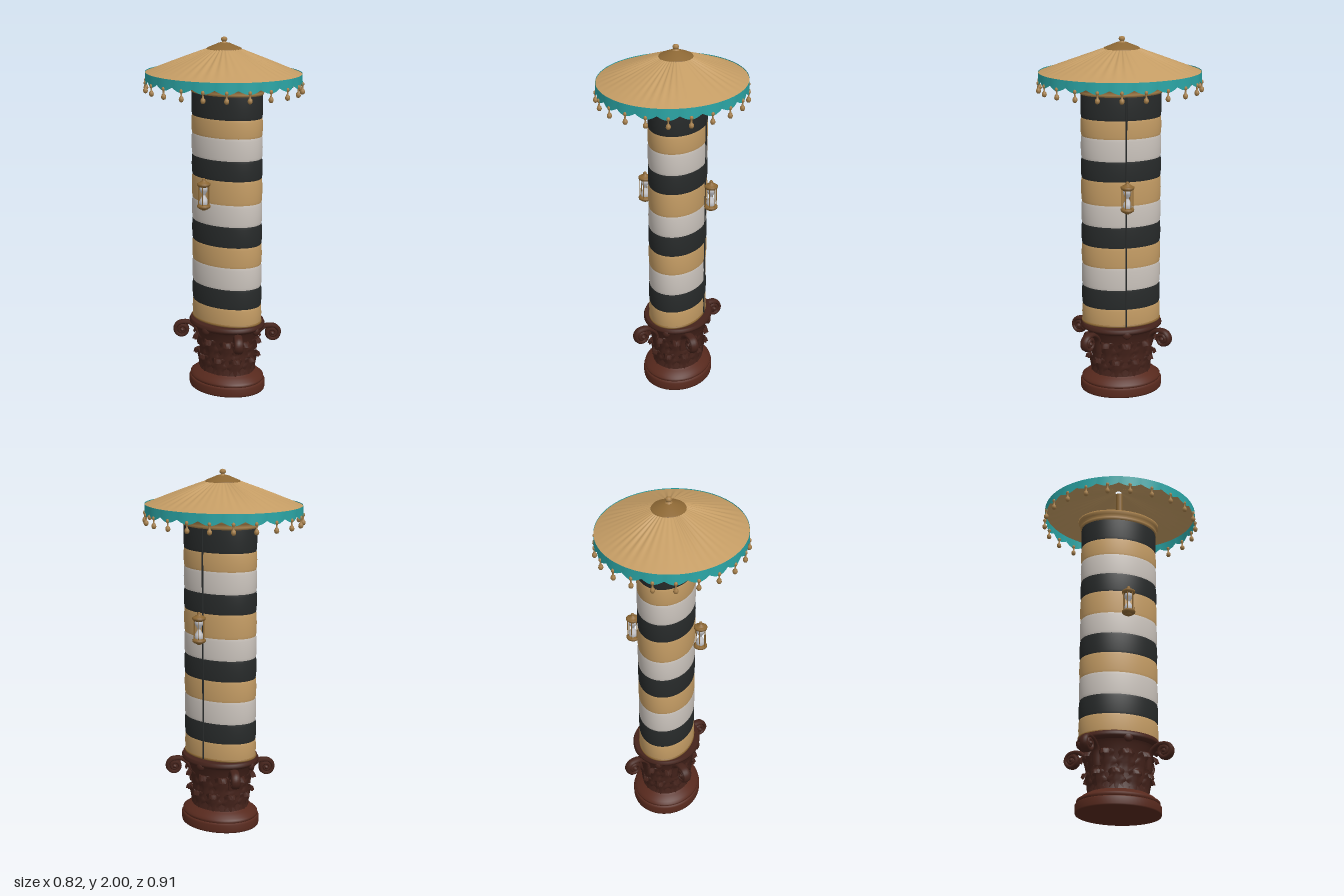
import * as THREE from 'three';

const mat = (name, color, double) => {
  const m = new THREE.MeshStandardMaterial({ color });
  m.name = name;
  if (double) m.side = THREE.DoubleSide;
  return m;
};
const M = {
  tan: mat('tan cloth', 0xc49c64, true),
  white: mat('white cloth', 0xcbc4bd),
  black: mat('black cloth', 0x272a2a),
  teal: mat('teal trim', 0x2ba5a5, true),
  gold: mat('old gold', 0x8c6734),
  bulb: mat('tassel gold', 0xa67f4a),
  carved: mat('carved wood', 0x45231b, true),
  wood: mat('plinth wood', 0x57291d),
  glass: mat('pale glass', 0xc2c2c6),
};

const add = (parent, name, geo, material, x = 0, y = 0, z = 0) => {
  const mesh = new THREE.Mesh(geo, material);
  mesh.name = name;
  mesh.position.set(x, y, z);
  parent.add(mesh);
  return mesh;
};
const lathe = (pts, seg = 64) =>
  new THREE.LatheGeometry(pts.map(([r, y]) => new THREE.Vector2(r, y)), seg);
const group = (parent, name, x = 0, y = 0, z = 0) => {
  const g = new THREE.Group();
  g.name = name;
  g.position.set(x, y, z);
  parent.add(g);
  return g;
};

// Lobed leaf that curls outward at its tip
function leafGeometry(w, h, out) {
  const geo = new THREE.PlaneGeometry(w, h, 6, 12);
  const p = geo.attributes.position;
  for (let i = 0; i < p.count; i++) {
    const u = p.getX(i), v = p.getY(i) / h + 0.5;
    const width = (1 - 0.55 * v ** 3) * (1 + 0.16 * Math.sin(v * 20));
    const curl = Math.max(0, v - 0.75);
    p.setXYZ(i, u * width, h * (v - 1.6 * curl * curl * 4),
      out * v * v + 0.01 - Math.abs(u) * 0.3 + 0.004 * Math.cos((u / w) * 18));
  }
  geo.computeVertexNormals();
  return geo;
}

function buildCapital(root) {
  const cap = group(root, 'carvedPedestal', 0.032);
  const body = group(cap, 'pedestalBody');
  body.scale.x = 0.84;
  add(body, 'plinth', lathe([[0, 0], [0.23, 0], [0.232, 0.008], [0.232, 0.045], [0.224, 0.052], [0.216, 0.054]]), M.wood);
  add(body, 'footMoulding', lathe([[0.216, 0.05], [0.224, 0.058], [0.224, 0.07], [0.21, 0.078], [0.2, 0.088], [0.18, 0.098], [0.168, 0.105]]), M.wood);
  add(body, 'bell', lathe([[0.168, 0.1], [0.158, 0.15], [0.158, 0.22], [0.168, 0.29], [0.19, 0.35], [0.205, 0.37]]), M.carved);
  add(body, 'abacus', lathe([[0.15, 0.365], [0.21, 0.367], [0.228, 0.378], [0.23, 0.39], [0.222, 0.398], [0.222, 0.406], [0, 0.408]]), M.carved);
  // Two staggered rows of leaves
  [[0.095, 0.14, 0.035, 0.1, 0.158], [0.1, 0.16, 0.05, 0.19, 0.158]].forEach(([w, h, out, y, r], row) => {
    const geo = leafGeometry(w, h, out);
    for (let i = 0; i < 10; i++) {
      const a = ((i + row * 0.5) / 10) * Math.PI * 2;
      add(body, 'leaf', geo, M.carved, Math.sin(a) * r, y, Math.cos(a) * r).rotation.y = a;
    }
  });
  // Rosette in the middle of each side
  for (let i = 0; i < 4; i++) {
    const a = (i * Math.PI) / 2;
    const ros = add(body, 'rosette', new THREE.SphereGeometry(0.026, 12, 8), M.carved, Math.sin(a) * 0.216, 0.372, Math.cos(a) * 0.216);
    ros.rotation.y = a;
    ros.scale.z = 0.7;
  }
  // Corner scrolls on curved stalks
  const pts = [new THREE.Vector3(0, -0.09, -0.1), new THREE.Vector3(0, 0.0, -0.085), new THREE.Vector3(0, 0.04, -0.04)];
  for (let i = 0; i <= 26; i++) {
    const t = i / 26, a = Math.PI * 0.5 - t * Math.PI * 3.6, r = 0.043 * (1 - t * 0.8);
    pts.push(new THREE.Vector3(0, Math.sin(a) * r, Math.cos(a) * r));
  }
  const scroll = new THREE.TubeGeometry(new THREE.CatmullRomCurve3(pts), 70, 0.0125, 8);
  scroll.scale(2, 1, 1);
  const disc = new THREE.CylinderGeometry(0.04, 0.04, 0.03, 20).rotateZ(Math.PI / 2);
  const eye = new THREE.SphereGeometry(0.016, 10, 8).scale(2, 1, 1);
  for (const sx of [-1, 1]) for (const sz of [-1, 1]) {
    const v = group(cap, 'cornerScroll', sx * 0.148, 0.325, sz * 0.213);
    v.rotation.y = Math.atan2(sx, sz);
    add(v, 'scroll', scroll, M.carved);
    add(v, 'scrollDisc', disc, M.carved);
    add(v, 'scrollEye', eye, M.carved);
  }
}

function buildColumn(root) {
  const col = group(root, 'column', 0.03);
  const shaft = group(col, 'stripedShaft');
  shaft.scale.x = 0.705;
  // Cloth bands, bottom to top
  const edges = [0.411, 0.511, 0.623, 0.75, 0.866, 0.983, 1.105, 1.238, 1.349, 1.471, 1.571, 1.705];
  const cloth = ['tan', 'black', 'white'];
  for (let i = 0; i < edges.length - 1; i++) {
    const a = edges[i], b = edges[i + 1], h = b - a;
    add(shaft, cloth[i % 3] + 'Band', lathe([[0.2165, a], [0.2195, a + h * 0.12], [0.221, a + h * 0.5], [0.2195, b - h * 0.12], [0.2165, b]]), M[cloth[i % 3]]);
  }
  add(shaft, 'lowerRing', new THREE.TorusGeometry(0.217, 0.007, 8, 64).rotateX(Math.PI / 2), M.gold, 0, 0.412);
  add(shaft, 'upperCornice', lathe([[0.21, 1.695], [0.224, 1.698], [0.228, 1.71], [0.222, 1.718], [0.232, 1.728], [0.238, 1.742], [0.238, 1.752], [0.2, 1.758], [0, 1.76]]), M.bulb);
  add(col, 'cord', new THREE.CylinderGeometry(0.0045, 0.0045, 1.29, 8), M.black, 0.157, 1.055, 0);
  add(col, 'centrePole', new THREE.CylinderGeometry(0.02, 0.02, 0.2, 12), M.gold, -0.015, 1.85, 0);
}

function buildLantern(root, side) {
  const l = group(root, 'lantern', 0.03 + side * 0.19, 1.16, 0);
  const plate = lathe([[0, -0.012], [0.026, -0.012], [0.036, -0.004], [0.037, 0.006], [0.028, 0.012], [0, 0.014]], 20);
  add(l, 'topPlate', plate, M.gold, 0, 0.056);
  add(l, 'bottomPlate', plate, M.gold, 0, -0.066);
  add(l, 'cap', lathe([[0.028, 0.064], [0.02, 0.073], [0.009, 0.078], [0.01, 0.085], [0.006, 0.092], [0, 0.094]], 16), M.gold);
  add(l, 'footKnob', lathe([[0, -0.09], [0.01, -0.087], [0.02, -0.078], [0.02, -0.07]], 16), M.gold);
  add(l, 'hourglass', lathe([[0.02, -0.056], [0.024, -0.045], [0.021, -0.028], [0.008, -0.005], [0.008, 0.001], [0.021, 0.022], [0.024, 0.036], [0.02, 0.046]], 20), M.glass);
  for (let i = 0; i < 6; i++) {
    const a = (i / 6) * Math.PI * 2;
    add(l, 'post', new THREE.CylinderGeometry(0.0025, 0.0025, 0.11, 6), M.gold, Math.sin(a) * 0.03, -0.005, Math.cos(a) * 0.03);
  }
  add(l, 'bracket', new THREE.BoxGeometry(0.04, 0.01, 0.012), M.gold, -side * 0.025, 0.056, 0);
}

function buildCanopy(root) {
  const can = group(root, 'canopy');
  const RX = 0.4, RZ = 0.44;
  // Pleated cone whose tip leans slightly sideways
  const profile = [];
  for (let i = 0; i <= 12; i++) profile.push([1 - (i / 12) * 0.96, 0]);
  const roof = lathe(profile, 240);
  const p = roof.attributes.position;
  for (let i = 0; i < p.count; i++) {
    const x = p.getX(i), z = p.getZ(i), r = Math.hypot(x, z), a = Math.atan2(x, z);
    const pleat = Math.sin(44 * a + 1.5 * Math.sin(3 * a)) * (0.6 + 0.4 * Math.sin(5 * a + 1));
    const y = 1.97 - 0.163 * r + 0.004 * pleat * Math.sin(Math.PI * Math.min(1, r * 1.02));
    p.setXYZ(i, x * RX + 0.015 * (1 - r), y, z * RZ - 0.006 * (1 - r));
  }
  roof.computeVertexNormals();
  add(can, 'pleatedRoof', roof, M.tan);

  // Scalloped valance
  const trim = new THREE.CylinderGeometry(1, 1, 1, 264, 1, true);
  const q = trim.attributes.position;
  for (let i = 0; i < q.count; i++) {
    const x = q.getX(i), z = q.getZ(i), a = Math.atan2(x, z), top = q.getY(i) > 0;
    const s = Math.abs(Math.cos(11 * a));
    const k = top ? 1.002 : 1.004 + 0.008 * (s - 0.5);
    q.setXYZ(i, x * RX * k, top ? 1.811 : 1.77 - 0.021 * s, z * RZ * k);
  }
  trim.computeVertexNormals();
  add(can, 'scallopedValance', trim, M.teal);

  // Tassels
  const tassel = lathe([[0, -0.058], [0.009, -0.054], [0.0135, -0.045], [0.012, -0.034], [0.005, -0.025], [0.004, -0.012], [0.009, -0.006], [0.01, 0.002], [0.006, 0.009], [0, 0.011]], 12);
  for (let i = 0; i < 22; i++) {
    const a = (i / 22) * Math.PI * 2;
    add(can, 'tassel', tassel, M.bulb, Math.sin(a) * RX * 1.005, 1.758, Math.cos(a) * RZ * 1.005);
  }

  // Crown cap and finial
  const crown = group(can, 'crown', 0.015, 0, -0.007);
  const disc = add(crown, 'crownCap', lathe([[0.098, 1.934], [0.095, 1.939], [0.03, 1.966], [0, 1.97]], 40), M.gold);
  disc.scale.x = 0.94;
  add(crown, 'finial', lathe([[0.02, 1.962], [0.02, 1.968], [0.009, 1.972], [0.014, 1.977], [0.018, 1.985], [0.014, 1.995], [0, 2.0]], 20), M.bulb);
}

export function createModel() {
  const root = new THREE.Group();
  root.name = 'stripedCanopyColumn';
  buildCapital(root);
  buildColumn(root);
  for (const side of [-1, 1]) buildLantern(root, side);
  buildCanopy(root);
  return root;
}
